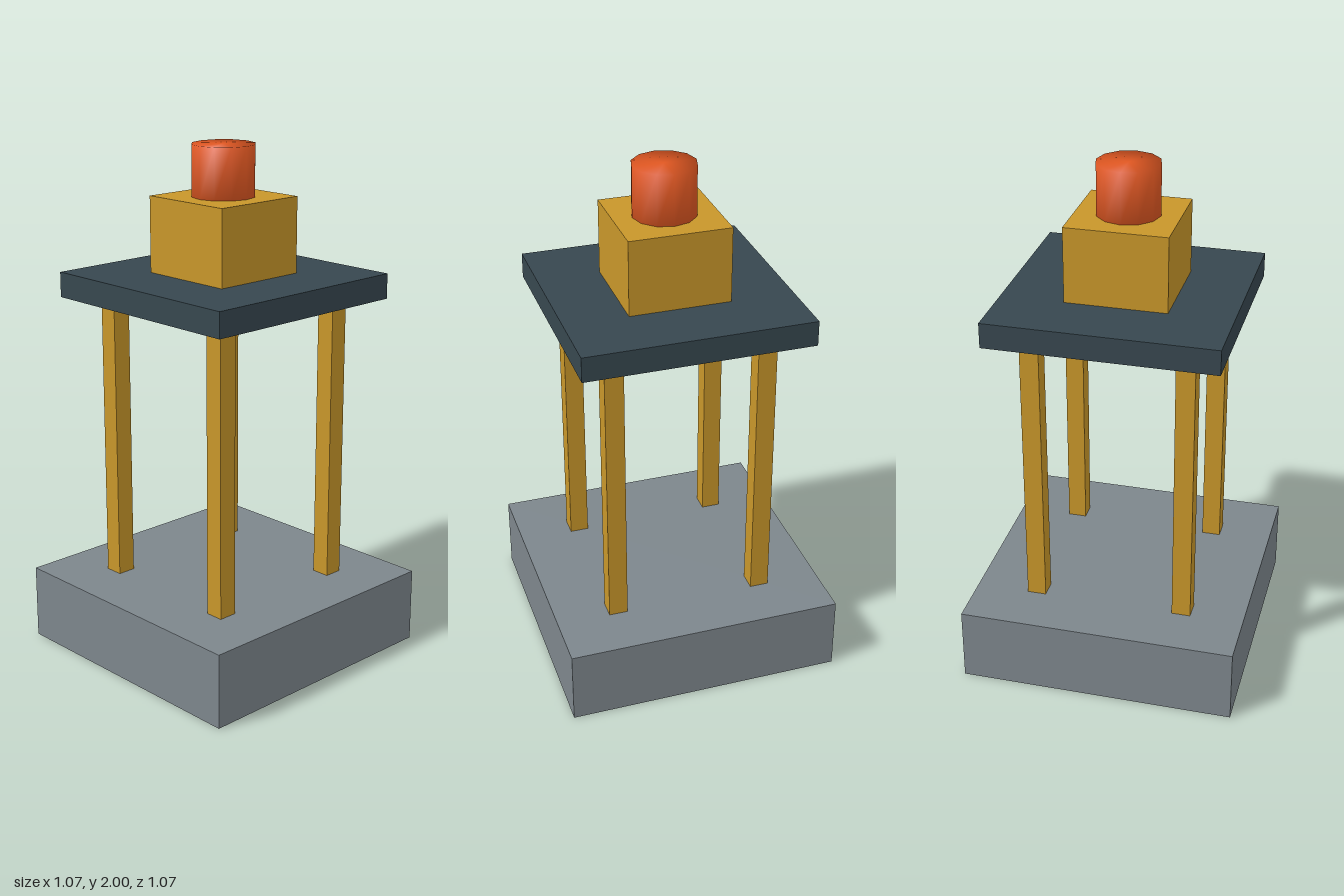
import * as THREE from 'three';
import { mergeVertices } from 'three/addons/utils/BufferGeometryUtils.js';

const U = 2 / 20.5; // design unit: the tower is 20.5 units tall

function material(name, color) {
  const m = new THREE.MeshStandardMaterial({ color });
  m.name = name;
  return m;
}

export function createModel() {
  const stone = material('stone grey', 0x7d868c);
  const gold = material('gold', 0xc8962a);
  const slate = material('dark slate', 0x37474f);
  const ember = material('ember orange', 0xe25822);

  const tower = new THREE.Group();
  tower.name = 'tower';

  // Square block whose underside sits at the given height
  function addBlock(name, width, height, bottom, mat, x = 0, z = 0) {
    const mesh = new THREE.Mesh(new THREE.BoxGeometry(width * U, height * U, width * U), mat);
    mesh.name = name;
    mesh.position.set(x * U, (bottom + height / 2) * U, z * U);
    tower.add(mesh);
  }

  addBlock('base', 11, 3, 0, stone);

  // Four corner posts
  for (const [side, x] of [['Left', 3], ['Right', -3]]) {
    for (const [end, z] of [['front', 3], ['back', -3]]) {
      addBlock(end + side + 'Post', 0.75, 11.5, 3, gold, x, z);
    }
  }

  addBlock('platform', 9, 1, 14.5, slate);
  addBlock('lampHousing', 4, 3, 15.5, gold);

  // Twelve-sided beacon, with normals blended across the rim
  let geometry = new THREE.CylinderGeometry(1.25 * U, 1.25 * U, 2 * U, 12);
  geometry.deleteAttribute('normal');
  geometry.deleteAttribute('uv');
  geometry = mergeVertices(geometry);
  geometry.computeVertexNormals();
  const beacon = new THREE.Mesh(geometry, ember);
  beacon.name = 'beacon';
  beacon.position.y = 19.5 * U;
  tower.add(beacon);

  return tower;
}
